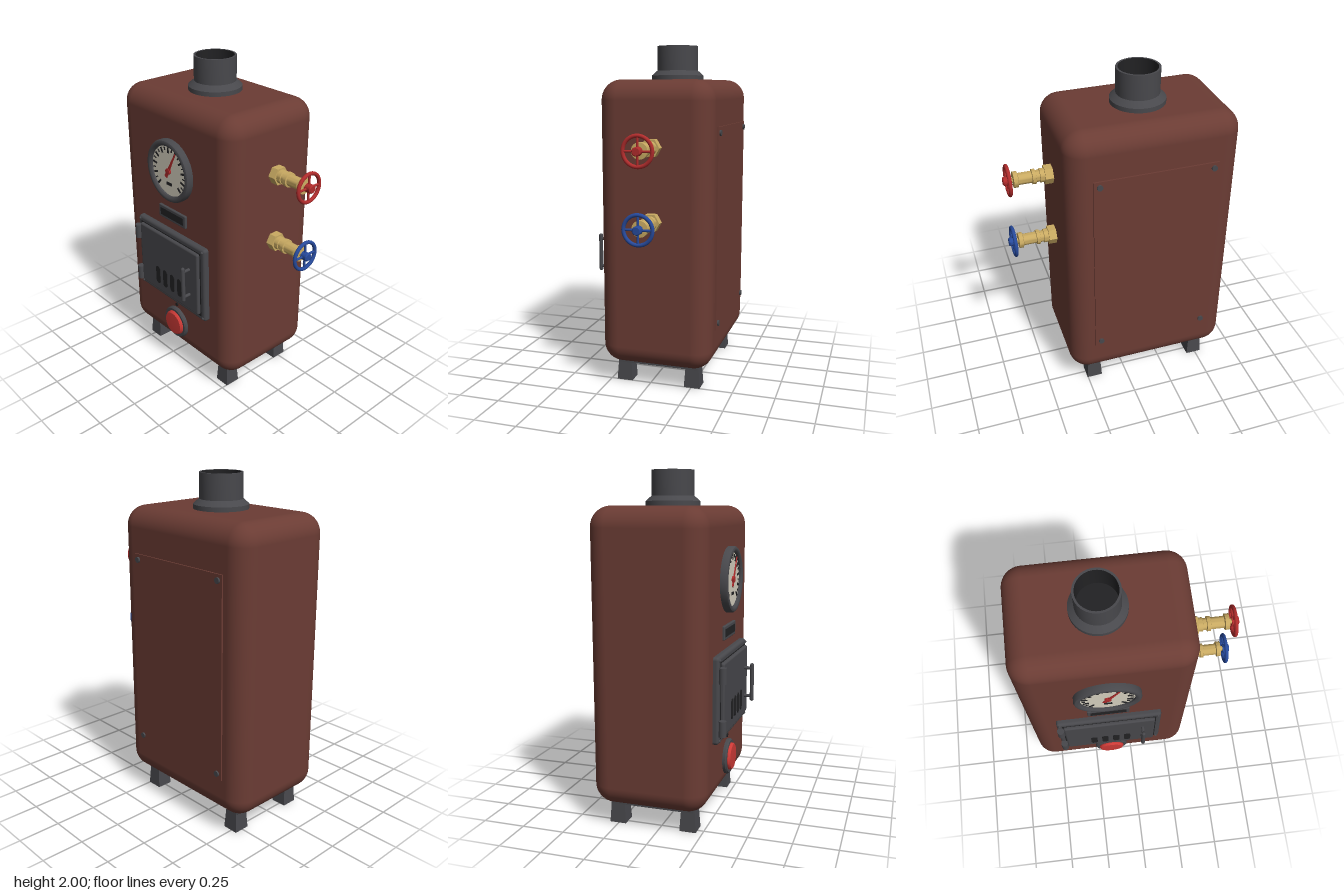
import * as THREE from 'three';
import { RoundedBoxGeometry } from 'three/addons/geometries/RoundedBoxGeometry.js';
import { toCreasedNormals } from 'three/addons/utils/BufferGeometryUtils.js';

const paint = (name, color, side = THREE.FrontSide) => {
  const m = new THREE.MeshStandardMaterial({ color, side });
  m.name = name;
  return m;
};

export function createModel() {
  const model = new THREE.Group();
  model.name = 'boiler';
  const rust = paint('rustPaint', 0x6b3c34);
  const iron = paint('darkIron', 0x48484c);
  const black = paint('soot', 0x222224);
  const brass = paint('brass', 0xc9aa62);
  const red = paint('red', 0xb02c2c);
  const buttonRed = paint('buttonRed', 0xcc3a36);
  const blue = paint('blue', 0x274a9c);
  const cream = paint('dialCream', 0xd6d0c0);

  const CX = -0.14, CZ = -0.048, FRONT = 0.285;

  const add = (name, geo, mat, x = 0, y = 0, z = 0, parent = model) => {
    const mesh = new THREE.Mesh(geo, mat);
    mesh.name = name;
    mesh.position.set(x, y, z);
    parent.add(mesh);
    return mesh;
  };
  const group = (name, x, y, z, parent = model) => {
    const g = new THREE.Group();
    g.name = name;
    g.position.set(x, y, z);
    parent.add(g);
    return g;
  };
  const box = (w, h, d) => new THREE.BoxGeometry(w, h, d);
  const rbox = (w, h, d, r) => new RoundedBoxGeometry(w, h, d, 3, r);
  // Lathe from [radius, height] pairs, with crisp corners
  const lathe = (pts, seg = 40) => toCreasedNormals(
    new THREE.LatheGeometry(pts.map(p => new THREE.Vector2(...p)), seg), 0.6);
  // Same, with the axis pointing to the front
  const latheZ = (pts, seg) => lathe(pts, seg).rotateX(Math.PI / 2);
  const slot = (w, h, d) => {
    const r = w / 2, s = new THREE.Shape();
    s.absarc(0, h / 2 - r, r, 0, Math.PI);
    s.absarc(0, r - h / 2, r, Math.PI, 2 * Math.PI);
    return new THREE.ExtrudeGeometry(s, { depth: d, bevelEnabled: false, curveSegments: 8 });
  };

  // Body, underside plate and feet
  add('body', new RoundedBoxGeometry(1, 1.67, 0.667, 7, 0.115), rust, CX, 0.965, CZ);
  add('basePlate', box(0.8, 0.03, 0.49), iron, CX, 0.13, CZ);
  for (const x of [-0.49, 0.205]) for (const z of [0.165, -0.255]) {
    const foot = new THREE.CylinderGeometry(0.056, 0.068, 0.13, 4).toNonIndexed();
    foot.rotateY(Math.PI / 4);
    foot.computeVertexNormals();
    add('foot', foot, iron, x, 0.065, z);
  }

  // Chimney: flared collar and open pipe
  add('chimney', lathe([[0.157, 1.79], [0.157, 1.826], [0.127, 1.852], [0.123, 1.855],
    [0.123, 2], [0.111, 2]], 48), iron, CX, 0, CZ);
  add('flueLining', lathe([[0.111, 2], [0.111, 1.86], [0, 1.86]], 48), black, CX, 0, CZ);

  // Pressure gauge
  const gauge = group('gauge', CX, 1.385, FRONT);
  add('bezel', latheZ([[0.19, -0.005], [0.19, 0.03], [0.184, 0.04], [0.175, 0.044],
    [0.163, 0.042], [0.154, 0.034], [0.153, 0.02]], 56), iron, 0, 0, 0, gauge);
  add('dial', new THREE.CircleGeometry(0.156, 56), cream, 0, 0, 0.024, gauge);
  for (let i = 0; i <= 20; i++) {
    const a = THREE.MathUtils.degToRad(-135 + i * 13.5);
    const major = i % 2 === 0, len = major ? 0.034 : 0.02;
    const r = 0.146 - len / 2;
    const tick = add('tick', box(major ? 0.011 : 0.006, len, 0.004), black,
      Math.sin(a) * r, Math.cos(a) * r, 0.026, gauge);
    tick.rotation.z = -a;
  }
  add('dialWindow', box(0.046, 0.018, 0.004), black, 0, -0.08, 0.026, gauge);
  const needle = new THREE.Shape([[-0.011, -0.045], [0.011, -0.045], [0.01, 0], [0.003, 0.142],
    [-0.003, 0.142], [-0.01, 0]].map(p => new THREE.Vector2(...p)));
  add('needle', new THREE.ExtrudeGeometry(needle, { depth: 0.005, bevelEnabled: false }),
    red, 0, 0, 0.029, gauge).rotation.z = -0.51;
  add('needleHub', latheZ([[0.019, 0.024], [0.019, 0.037], [0, 0.039]], 20), red, 0, 0, 0, gauge);

  // Vent plate below the gauge
  const ventPlate = group('ventPlate', CX - 0.002, 1.09, FRONT);
  add('ventFrame', rbox(0.25, 0.082, 0.03, 0.006), iron, 0, 0, 0, ventPlate);
  add('ventOpening', box(0.212, 0.046, 0.004), black, 0, 0, 0.015, ventPlate);

  // Fire door
  const door = group('fireDoor', -0.143, 0.743, FRONT);
  add('doorFrame', rbox(0.636, 0.496, 0.07, 0.018), iron, 0, 0, 0, door);
  add('doorSeam', box(0.572, 0.434, 0.004), black, 0, 0, 0.035, door);
  add('doorPanel', rbox(0.556, 0.418, 0.04, 0.012), iron, 0, 0.002, 0.036, door);
  for (const x of [-0.298, 0.298]) for (const y of [-0.228, 0.228])
    add('frameRivet', new THREE.SphereGeometry(0.009, 10, 8), iron, x, y, 0.034, door);
  for (let i = 0; i < 4; i++)
    add('ventSlot', slot(0.04, 0.122, 0.008), black, -0.104 + i * 0.07, -0.091, 0.052, door);
  for (const y of [-0.155, 0.145]) {
    add('hingeLeaf', box(0.05, 0.08, 0.02), iron, -0.285, y, 0.04, door);
    add('hingeBarrel', new THREE.CylinderGeometry(0.022, 0.022, 0.09, 20), iron, -0.297, y, 0.052, door);
  }
  add('handleGrip', new THREE.CapsuleGeometry(0.012, 0.212, 6, 16), iron, 0.203, -0.003, 0.103, door);
  for (const y of [-0.09, 0.084]) {
    const post = new THREE.CylinderGeometry(0.01, 0.01, 0.055, 14).rotateX(Math.PI / 2);
    add('handlePost', post, iron, 0.203, y, 0.077, door);
  }

  // Push button and pilot hole
  const button = group('pushButton', CX, 0.327, FRONT);
  add('buttonRing', latheZ([[0.105, -0.005], [0.105, 0.016], [0.098, 0.025], [0.084, 0.025],
    [0.08, 0.01]]), iron, 0, 0, 0, button);
  add('buttonCap', latheZ([[0.081, 0], [0.081, 0.03], [0.073, 0.041], [0, 0.044]]),
    buttonRed, 0, 0, 0, button);
  add('pilotHole', latheZ([[0.012, -0.003], [0.012, 0.006], [0, 0.007]], 16), black, CX, 0.455, FRONT);

  // Rear access panel with bolts
  add('rearPanel', box(0.72, 1.18, 0.02), rust, CX, 0.948, -0.381);
  for (const x of [-0.47, 0.185]) for (const y of [0.395, 1.505]) {
    const bolt = new THREE.CylinderGeometry(0.017, 0.017, 0.02, 12).rotateX(Math.PI / 2);
    add('panelBolt', bolt, iron, x, y, -0.391);
  }

  // Valves: built along +y, then laid over to point along +x
  const valve = (name, y, mat) => {
    const g = group(name, 0.355, y, CZ - 0.002);
    g.rotation.z = -Math.PI / 2;
    const nut = new THREE.CylinderGeometry(0.055, 0.055, 0.046, 6).toNonIndexed();
    nut.computeVertexNormals();
    add('nut', nut, brass, 0, 0.029, 0, g);
    add('valveBody', lathe([[0.04, 0], [0.04, 0.078], [0.034, 0.08], [0.034, 0.1], [0.043, 0.102],
      [0.043, 0.122], [0.034, 0.124], [0.034, 0.2], [0.046, 0.204], [0.046, 0.228],
      [0.015, 0.23], [0.015, 0.25]], 28), brass, 0, 0, 0, g);
    const wheel = group('handWheel', 0, 0.256, 0, g);
    add('rim', new THREE.TorusGeometry(0.082, 0.011, 12, 40).rotateX(Math.PI / 2), mat, 0, 0, 0, wheel);
    add('hub', lathe([[0, -0.012], [0.025, -0.012], [0.025, 0.024], [0.02, 0.029], [0, 0.029]], 20),
      mat, 0, 0, 0, wheel);
    for (let i = 0; i < 2; i++) {
      const spoke = new THREE.CylinderGeometry(0.007, 0.007, 0.16, 10).rotateX(Math.PI / 2);
      add('spoke', spoke, mat, 0, 0, 0, wheel).rotation.y = i * Math.PI / 2;
    }
  };
  valve('hotValve', 1.428, red);
  valve('coldValve', 1.01, blue);

  return model;
}
